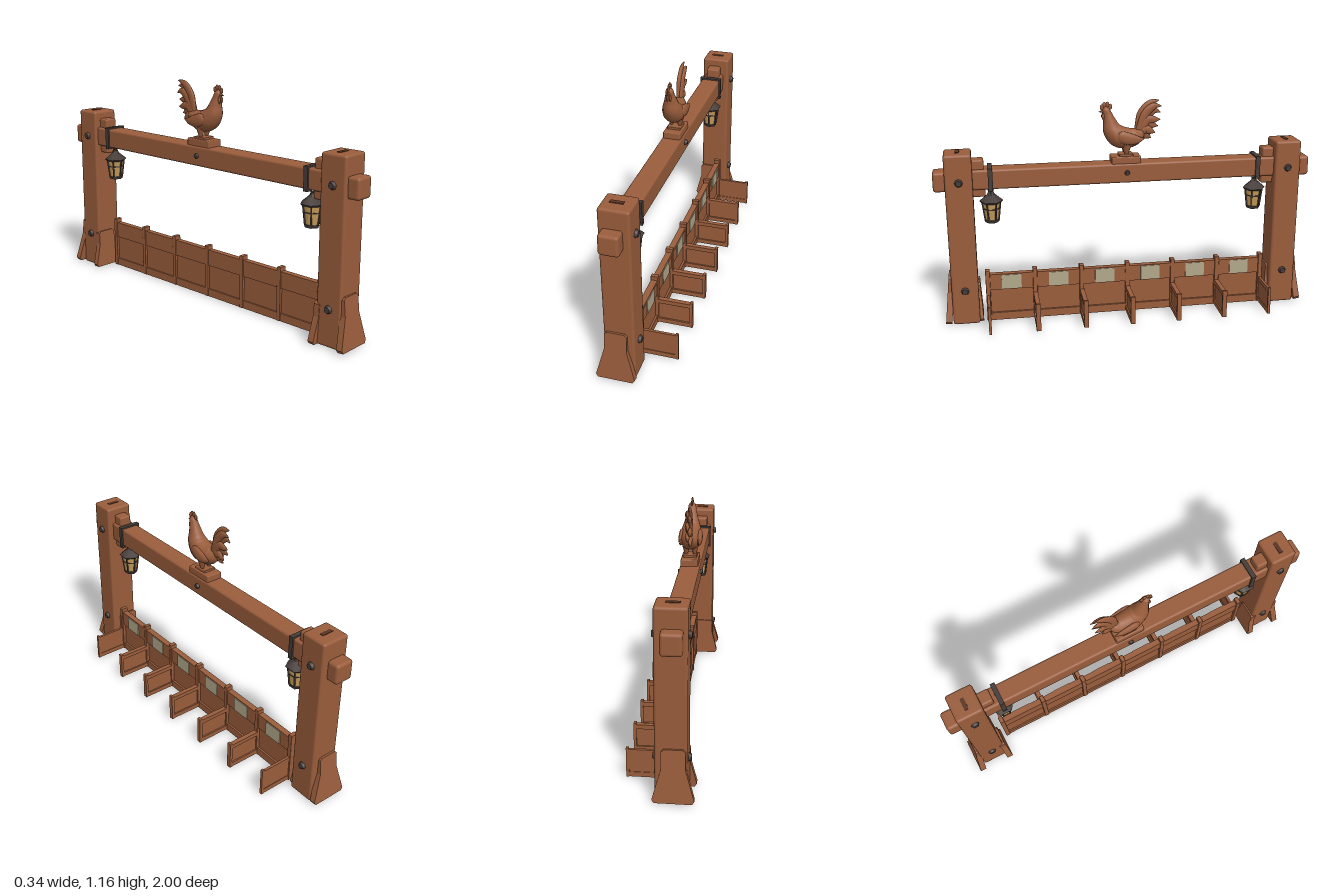
import * as THREE from 'three';
import { RoundedBoxGeometry } from 'three/addons/geometries/RoundedBoxGeometry.js';
import { ParametricGeometry } from 'three/addons/geometries/ParametricGeometry.js';

const mat = (name, color, side = THREE.FrontSide) => {
  const m = new THREE.MeshStandardMaterial({ color, side });
  m.name = name;
  return m;
};

export function createModel() {
  const wood = mat('brown wood', 0x9a5d3c);
  const darkWood = mat('dark wood', 0x5a3523);
  const iron = mat('dark iron', 0x453c39);
  const glass = mat('amber glass', 0xcfa35f);
  const card = mat('pale card', 0xb3a88c);
  const root = new THREE.Group();
  root.name = 'stallFrame';
  const CX = -0.065; // centre line of posts and beam

  const add = (name, geo, m, x = 0, y = 0, z = 0, parent = root) => {
    const mesh = new THREE.Mesh(geo, m);
    mesh.name = name;
    mesh.position.set(x, y, z);
    parent.add(mesh);
    return mesh;
  };
  // box given by its limits on each axis; r rounds the edges
  const box = (name, m, [x0, x1], [y0, y1], [z0, z1], r = 0, parent = root) => {
    const s = [x1 - x0, y1 - y0, z1 - z0];
    const geo = r ? new RoundedBoxGeometry(...s, 2, r) : new THREE.BoxGeometry(...s);
    return add(name, geo, m, (x0 + x1) / 2, (y0 + y1) / 2, (z0 + z1) / 2, parent);
  };
  const around = (c, h) => [c - h, c + h];
  const group = (name) => {
    const g = new THREE.Group();
    g.name = name;
    root.add(g);
    return g;
  };
  // domed bolt head facing +x or -x
  const bolt = (x, y, z, dir, r = 0.02) => {
    const b = add('bolt', new THREE.CylinderGeometry(r * 0.65, r, 0.018, 8), iron, x, y, z);
    b.rotation.z = -dir * Math.PI / 2;
  };

  // beam with projecting tenon ends
  box('beam', wood, [-0.117, -0.015], [0.73, 0.835], [-0.93, 0.93], 0.012);

  // flared brace board
  const braceGeo = (h, top, foot) => {
    const s = new THREE.Shape();
    s.moveTo(-foot + 0.01, 0);
    s.lineTo(foot - 0.01, 0);
    s.lineTo(foot, 0.015);
    s.lineTo(top, h * 0.64);
    s.lineTo(top, h - 0.012);
    s.lineTo(top - 0.012, h);
    s.lineTo(-top + 0.012, h);
    s.lineTo(-top, h - 0.012);
    s.lineTo(-top, h * 0.64);
    s.lineTo(-foot, 0.015);
    s.closePath();
    return new THREE.ExtrudeGeometry(s, { depth: 0.032, bevelEnabled: false }).translate(0, 0, -0.016);
  };

  for (const s of [1, -1]) {
    // post, tenon, brackets and braces
    box('post', wood, [-0.135, 0.015], [0, 0.925], around(s * 0.87, 0.07), 0.013);
    box('postTopSlot', darkWood, around(CX, 0.032), [0.922, 0.928], around(s * 0.87, 0.01));
    box('tenon', wood, [-0.117, -0.018], [0.725, 0.83], around(s * 0.965, 0.035), 0.015);
    box('upperBracket', wood, [-0.1, -0.03], [0.825, 0.885], around(s * 0.772, 0.032), 0.01);
    box('lowerBracket', wood, [-0.1, -0.03], [0.688, 0.74], around(s * 0.77, 0.033), 0.01);
    const outer = add('outerBrace', braceGeo(0.257, 0.055, 0.096), wood, CX - 0.008, 0.008, s * 0.964);
    outer.rotation.x = -s * 0.11;
    const inner = add('innerBrace', braceGeo(0.21, 0.055, 0.085), wood, CX - 0.018, 0.003, s * 0.796);
    inner.rotation.x = s * 0.05;
    for (const y of [0.19, 0.78]) {
      bolt(0.02, y, s * 0.87, 1, 0.023);
      bolt(-0.14, y, s * 0.87, -1, 0.023);
    }

    // lantern on a strap round the beam
    const z = s * 0.71;
    const lan = group('lantern');
    for (const x of [-0.121, -0.011]) box('strapSide', iron, around(x, 0.004), [0.725, 0.842], around(z, 0.012), 0, lan);
    for (const y of [0.838, 0.727]) box('strapBand', iron, around(CX - 0.001, 0.06), around(y, 0.005), around(z, 0.012), 0, lan);
    const link = new THREE.TorusGeometry(0.012, 0.004, 6, 12);
    add('chainLink', link, iron, CX, 0.715, z, lan).rotation.y = Math.PI / 2;
    add('chainLink', link, iron, CX, 0.7, z, lan);
    add('finial', new THREE.CylinderGeometry(0.012, 0.022, 0.018, 6), iron, CX, 0.698, z, lan);
    add('roof', new THREE.CylinderGeometry(0.022, 0.062, 0.034, 6), iron, CX, 0.674, z, lan);
    add('eave', new THREE.CylinderGeometry(0.062, 0.052, 0.01, 6), iron, CX, 0.652, z, lan);
    add('pane', new THREE.CylinderGeometry(0.047, 0.035, 0.095, 6), glass, CX, 0.602, z, lan);
    add('base', new THREE.CylinderGeometry(0.041, 0.036, 0.015, 6), iron, CX, 0.549, z, lan);
    add('paneBand', new THREE.CylinderGeometry(0.0465, 0.0455, 0.006, 6), iron, CX, 0.615, z, lan);
    for (let i = 0; i < 6; i++) {
      const a = i * Math.PI / 3;
      const arm = new THREE.Group();
      arm.name = 'lanternBar';
      arm.position.set(CX, 0.602, z);
      arm.rotation.y = a;
      lan.add(arm);
      add('bar', new THREE.BoxGeometry(0.007, 0.097, 0.007), iron, 0, 0, 0.042, arm).rotation.x = 0.125;
    }
  }
  for (const d of [1, -1]) bolt(CX + d * 0.055, 0.785, 0, d, 0.016);

  // row of stalls: dividers, wall posts, rails, panels and cards
  const stalls = group('stalls');
  for (let i = 0; i < 7; i++) {
    const z = -0.75 + i * 0.25;
    const h = i % 6 === 0 ? 0.007 : 0.012;
    box('wallPost', wood, [-0.047, -0.008], [0, 0.285], around(z, 0.012), 0.003, stalls);
    box('dividerTop', wood, [-0.01, 0.16], [0.125, 0.148], around(z, h), 0, stalls);
    box('dividerBottom', wood, [-0.01, 0.16], [0.005, 0.03], around(z, h), 0, stalls);
    box('dividerEnd', wood, [0.156, 0.17], [0.003, 0.155], around(z, h), 0, stalls);
    box('dividerPanel', wood, [-0.01, 0.158], [0.02, 0.13], around(z, 0.004), 0, stalls);
    if (i === 6) continue;
    const c = z + 0.125;
    box('lowerRail', wood, [-0.042, -0.014], [0, 0.042], around(c, 0.115), 0, stalls);
    box('upperRail', wood, [-0.042, -0.014], [0.175, 0.25], around(c, 0.115), 0, stalls);
    box('topLip', wood, [-0.044, -0.012], [0.247, 0.263], around(c, 0.115), 0, stalls);
    box('wallPanel', wood, [-0.034, -0.025], [0.035, 0.18], around(c, 0.115), 0, stalls);
    box('card', card, [-0.013, -0.008], [0.18, 0.258], around(c, 0.052), 0, stalls);
  }

  // rooster, facing +z; each path entry is [z, y, radius]
  const bird = group('rooster');
  const sweep = (name, path, width, rows = 20, x = CX) => {
    const curve = new THREE.CatmullRomCurve3(path.map(([z, y, r]) => new THREE.Vector3(r, y, z)));
    const geo = new ParametricGeometry((u, v, out) => {
      const p = curve.getPoint(v), t = curve.getTangent(v);
      const len = Math.hypot(t.y, t.z) || 1, a = u * Math.PI * 2;
      const r = Math.max(p.x, 0.001), c = Math.cos(a) * r / len;
      out.set(Math.sin(a) * r * width, p.y - t.z * c, p.z + t.y * c);
    }, 14, rows);
    return add(name, geo, wood, x, 0, 0, bird);
  };
  box('plinth', wood, around(CX, 0.045), [0.83, 0.87], [-0.075, 0.08], 0.006, bird);
  box('footBlock', wood, around(CX, 0.035), [0.865, 0.882], [-0.035, 0.04], 0.004, bird);
  sweep('body', [[0.108, 1.132, 0.002], [0.105, 1.118, 0.018], [0.096, 1.09, 0.024], [0.085, 1.05, 0.035],
    [0.07, 1.005, 0.05], [0.035, 0.97, 0.058], [-0.015, 0.962, 0.054], [-0.06, 0.975, 0.042],
    [-0.095, 1.0, 0.012]], 0.95, 36);
  for (const s of [1, -1]) {
    sweep('wing', [[0.055, 0.985, 0.003], [0.035, 0.98, 0.028], [-0.01, 0.965, 0.032], [-0.055, 0.96, 0.02],
      [-0.09, 0.965, 0.002]], 0.45, 18, CX + s * 0.047);
    sweep('thigh', [[0.0, 0.95, 0.032], [0.0, 0.915, 0.022], [0.0, 0.875, 0.008]], 0.8, 10, CX + s * 0.022);
    sweep('wattle', [[0.118, 1.1, 0.003], [0.118, 1.08, 0.01], [0.116, 1.058, 0.002]], 0.6, 8, CX + s * 0.008);
  }
  add('beak', new THREE.ConeGeometry(0.011, 0.034, 8), wood, CX, 1.106, 0.128, bird).rotation.x = Math.PI / 2 + 0.2;
  // scalloped comb
  [[0.125, 1.133], [0.112, 1.145], [0.096, 1.146], [0.081, 1.135]].forEach(([z, y]) => {
    const tooth = add('comb', new THREE.SphereGeometry(0.014, 10, 8), wood, CX, y - 0.006, z, bird);
    tooth.scale.set(0.4, 1.1, 0.75);
  });
  // fan of curved tail feathers: [bend z, bend y, tip z, tip y]
  [[-0.085, 1.09, -0.178, 1.155], [-0.105, 1.09, -0.188, 1.125], [-0.115, 1.075, -0.185, 1.09],
    [-0.115, 1.055, -0.182, 1.055], [-0.11, 1.03, -0.172, 1.018], [-0.105, 1.005, -0.155, 0.985],
    [-0.095, 0.98, -0.135, 0.955]].forEach(([bz, by, tz, ty], i) => {
    const k = i < 3 ? 0.018 : 0;
    sweep('tailFeather', [[-0.055, 0.975, 0.012], [(bz - 0.055) / 2, (by + 0.975) / 2, 0.02], [bz, by, 0.022],
      [(bz + tz) / 2, (by + ty) / 2 + k, 0.018], [tz, ty, 0.002]], 0.5, 18, CX + (i % 2 ? 0.006 : -0.006));
  });

  return root;
}
